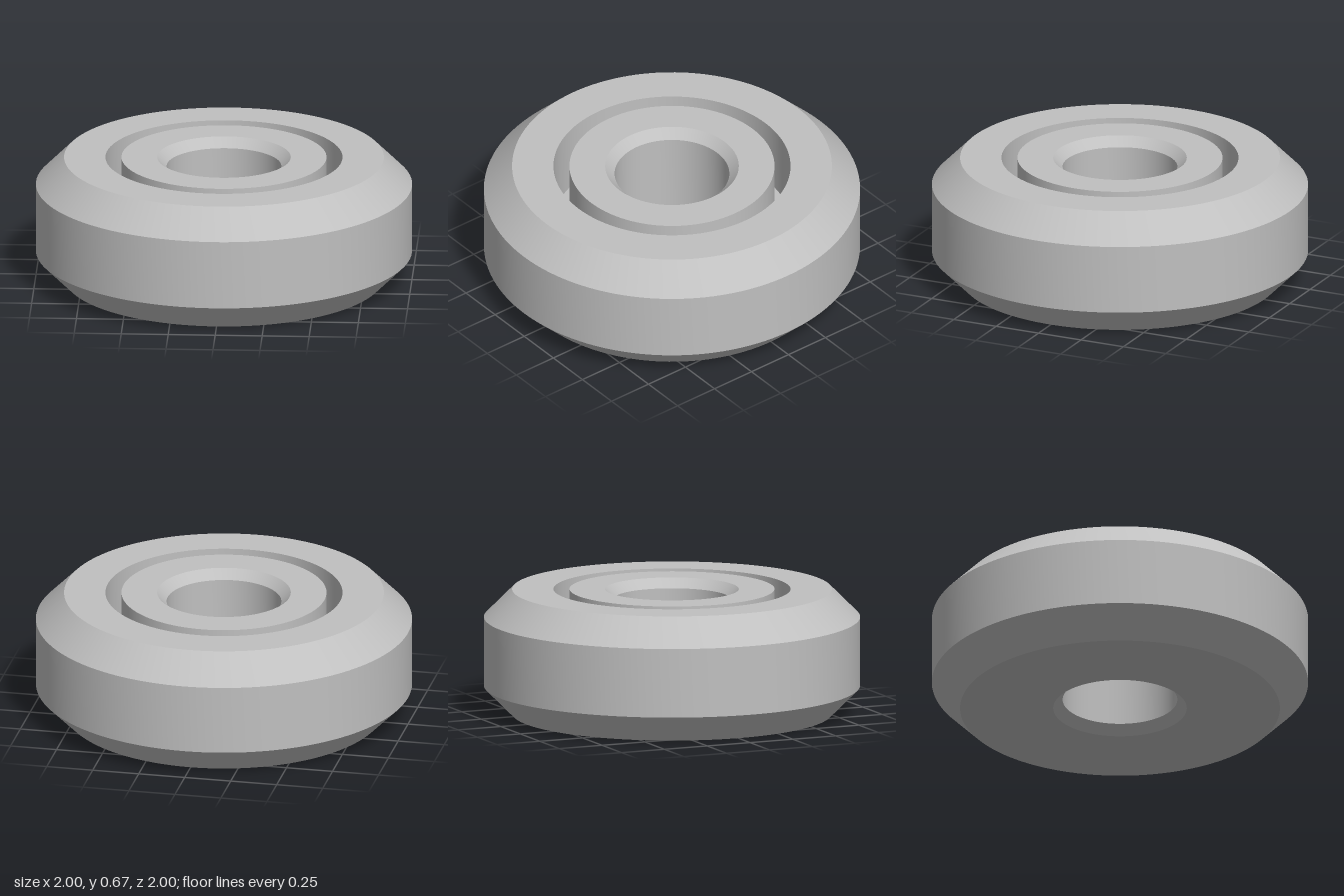
import * as THREE from 'three';
import { toCreasedNormals } from 'three/addons/utils/BufferGeometryUtils.js';

const HEIGHT = 0.67;
const RIM = 1, RIM_BEVEL = 0.15;          // outer wall and its 45 degree bevels
const BORE = 0.305, BORE_BEVEL = 0.05;    // through hole and its countersinks
const GROOVE_IN = 0.545, GROOVE_OUT = 0.63, GROOVE_DEPTH = 0.37;

export function createModel() {
  const group = new THREE.Group();
  group.name = 'groovedRing';
  const greyMetal = new THREE.MeshStandardMaterial({ color: 0xc0c0c0 });
  greyMetal.name = 'greyMetal';

  // Closed cross-section: up the outside, across the grooved top, down the bore
  const profile = [
    [BORE + BORE_BEVEL, 0],
    [RIM - RIM_BEVEL, 0],
    [RIM, RIM_BEVEL],
    [RIM, HEIGHT - RIM_BEVEL],
    [RIM - RIM_BEVEL, HEIGHT],
    [GROOVE_OUT, HEIGHT],
    [GROOVE_OUT, HEIGHT - GROOVE_DEPTH],
    [GROOVE_IN, HEIGHT - GROOVE_DEPTH],
    [GROOVE_IN, HEIGHT],
    [BORE + BORE_BEVEL, HEIGHT],
    [BORE, HEIGHT - BORE_BEVEL],
    [BORE, BORE_BEVEL],
    [BORE + BORE_BEVEL, 0],
  ].map(([r, y]) => new THREE.Vector2(r, y));

  // Smooth around the axis, sharp at the bevel and groove edges
  const geometry = toCreasedNormals(new THREE.LatheGeometry(profile, 128), 0.5);
  const body = new THREE.Mesh(geometry, greyMetal);
  body.name = 'ringBody';
  group.add(body);
  return group;
}
